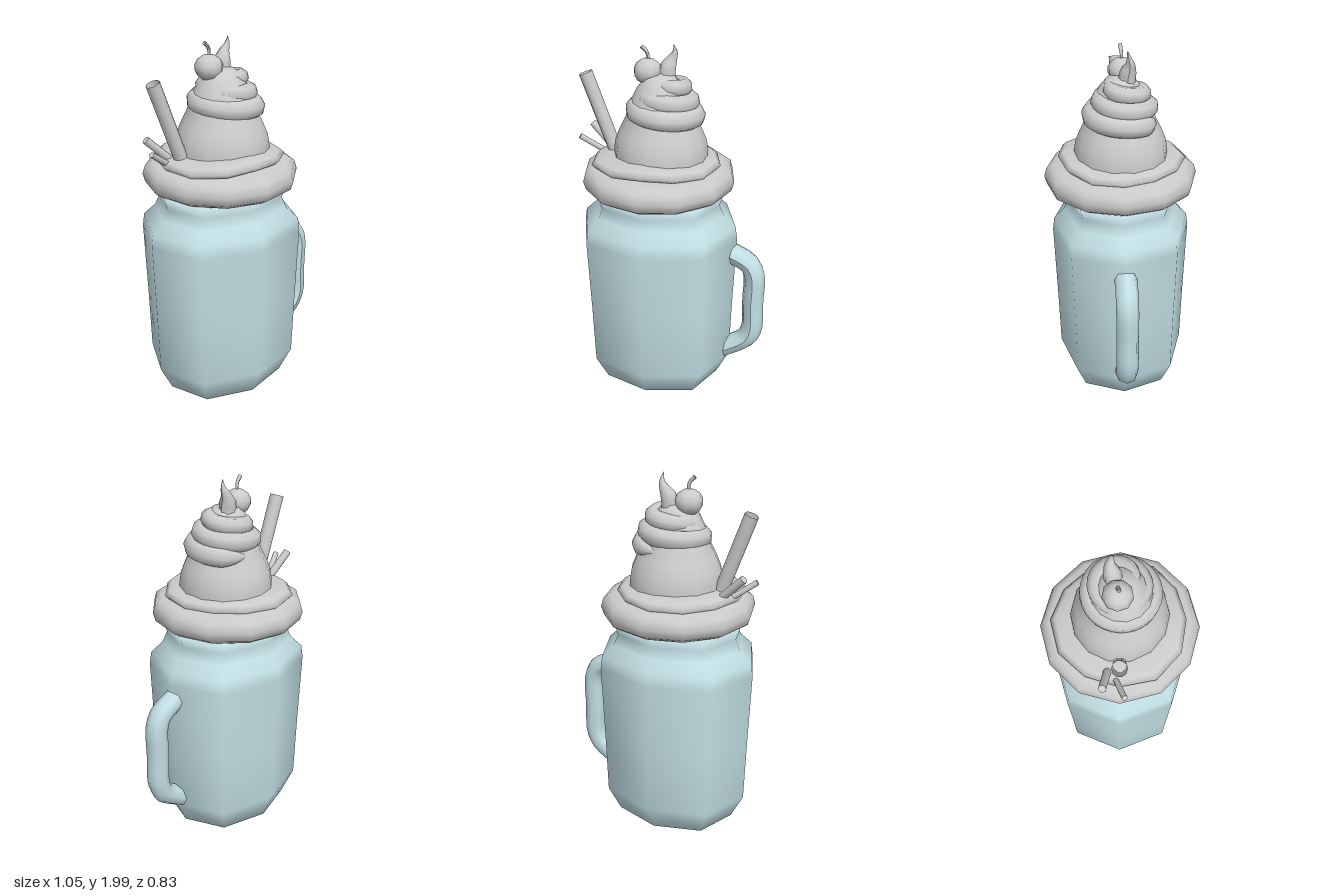
import * as THREE from 'three';
import { mergeVertices } from 'three/addons/utils/BufferGeometryUtils.js';

const V = (x, y, z) => new THREE.Vector3(x, y, z);
const CX = -0.08; // axis of the jar

export function createModel() {
  const group = new THREE.Group();
  const grey = new THREE.MeshStandardMaterial({ color: 0xcccccc, side: THREE.DoubleSide });
  const glass = new THREE.MeshStandardMaterial({ color: 0xc2dfe4, side: THREE.DoubleSide });

  const add = (name, geometry, material = grey, x = 0, y = 0, z = 0) => {
    const mesh = new THREE.Mesh(geometry, material);
    mesh.name = name;
    mesh.position.set(x, y, z);
    group.add(mesh);
    return mesh;
  };

  // Turned form whose vertices may be moved by a rule, with seamless smooth normals
  const lathe = (profile, sides, rule) => {
    let g = new THREE.LatheGeometry(profile.map(([r, y]) => new THREE.Vector2(r, y)), sides);
    const p = g.attributes.position, v = V();
    for (let i = 0; rule && i < p.count; i++) {
      rule(v.fromBufferAttribute(p, i));
      p.setXYZ(i, v.x, v.y, v.z);
    }
    g.deleteAttribute('uv');
    g.deleteAttribute('normal');
    g = mergeVertices(g, 1e-4);
    g.computeVertexNormals();
    return g;
  };

  // Tube whose thickness follows radius(t)
  const taperedTube = (points, steps, sides, radius) => {
    const path = new THREE.CatmullRomCurve3(points);
    const g = new THREE.TubeGeometry(path, steps, 1, sides);
    const p = g.attributes.position, v = V();
    for (let i = 0; i < p.count; i++) {
      const t = Math.floor(i / (sides + 1)) / steps;
      const c = path.getPointAt(t);
      v.fromBufferAttribute(p, i).sub(c).multiplyScalar(radius(t)).add(c);
      p.setXYZ(i, v.x, v.y, v.z);
    }
    g.computeVertexNormals();
    return g;
  };

  // Straight rod between two points
  const rod = (name, a, b, radius, sides, open) => {
    const mesh = add(name, new THREE.CylinderGeometry(radius, radius, a.distanceTo(b), sides, 1, open));
    mesh.position.copy(a).lerp(b, 0.5);
    mesh.quaternion.setFromUnitVectors(V(0, 1, 0), b.clone().sub(a).normalize());
    return mesh;
  };

  // Jar: eight sides, flattened front to back, corners pushed out
  add('jar', lathe([
    [0, 0.01], [0.2, 0.015], [0.345, 0.06], [0.415, 0.2], [0.425, 0.55], [0.44, 0.96],
    [0.43, 1.03], [0.365, 1.09], [0.338, 1.15], [0.36, 1.22], [0, 1.25],
  ], 8, (v) => {
    const diagonal = Math.abs(v.x * v.z) > 1e-4;
    const k = diagonal ? 1.05 : 1;
    v.set(v.x * k, v.y, v.z * k * 0.86);
  }), glass, CX);

  // Handle
  add('handle', taperedTube([
    V(0.27, 0.89, 0), V(0.37, 0.855, 0), V(0.435, 0.815, 0), V(0.463, 0.75, 0),
    V(0.463, 0.58, 0), V(0.463, 0.4, 0), V(0.43, 0.33, 0), V(0.37, 0.285, 0), V(0.27, 0.225, 0),
  ], 24, 8, () => 0.06), glass);

  // Rolled cream rim
  add('creamRim', lathe([
    [0, 1.25], [0.29, 1.235], [0.36, 1.22], [0.4, 1.245], [0.413, 1.29],
    [0.4, 1.335], [0.365, 1.36], [0.28, 1.37], [0, 1.38],
  ], 12), grey, CX);

  // Second cream layer: an uneven swirl with a crest at the front
  add('creamLayer', lathe([
    [0.24, 1.34], [0.32, 1.355], [0.345, 1.38], [0.32, 1.402], [0.24, 1.42], [0, 1.43],
  ], 12, (v) => {
    const a = Math.atan2(v.z, v.x), r = Math.hypot(v.x, v.z);
    const k = 1 - 0.035 * Math.cos(a) + 0.03 * Math.sin(3 * a + 0.5);
    v.y += r > 0.2 ? 0.025 * Math.max(0, Math.sin(a)) ** 4 : 0;
    v.x *= k;
    v.z *= k;
  }), grey, CX);

  // Dome and the core hidden inside the swirl
  add('creamDome', lathe([
    [0.25, 1.38], [0.25, 1.44], [0.24, 1.5], [0.215, 1.56], [0.185, 1.62],
    [0.16, 1.7], [0.12, 1.78], [0.07, 1.84], [0, 1.85],
  ], 14), grey, -0.068);

  // Swirl climbing in a narrowing helix
  const helix = [];
  for (let i = 0; i <= 38; i++) {
    const t = i / 38, a = -Math.PI / 2 + t * Math.PI * 2 * 2.9;
    const r = 0.165 - 0.11 * t ** 1.3;
    helix.push(V(-0.055 + 0.02 * t + r * Math.cos(a), 1.615 + 0.215 * t, r * Math.sin(a) - 0.02 * t));
  }
  add('creamSwirl', taperedTube(helix, 76, 8,
    (t) => (0.06 - 0.016 * t) * Math.min(1, t * 14 + 0.1, (1 - t) * 10)));

  // Flame-shaped peak
  add('creamPeak', taperedTube([
    V(-0.045, 1.79, -0.03), V(-0.04, 1.87, -0.035), V(-0.018, 1.92, -0.045), V(-0.003, 1.955, -0.04), V(-0.008, 2, -0.03),
  ], 12, 8, (t) => 0.047 * Math.min(1, (1 - t) * 1.7) * (1 - 0.2 * t)));

  // Cherry and stem
  add('cherry', new THREE.SphereGeometry(0.075, 9, 7), grey, -0.14, 1.855, -0.01).scale.y = 0.9;
  add('cherryStem', taperedTube([
    V(-0.14, 1.9, -0.01), V(-0.138, 1.94, -0.01), V(-0.15, 1.965, -0.007), V(-0.17, 1.983, -0.004),
  ], 8, 6, (t) => 0.007 + 0.004 * t));

  // Hollow straw and two wafer sticks
  rod('straw', V(-0.315, 1.38, 0), V(-0.478, 1.823, 0), 0.037, 10, true);
  rod('waferStick', V(-0.35, 1.39, -0.06), V(-0.482, 1.517, -0.083), 0.021, 8, false);
  rod('waferStick', V(-0.37, 1.37, -0.03), V(-0.515, 1.475, 0.025), 0.015, 8, false);

  return group;
}
